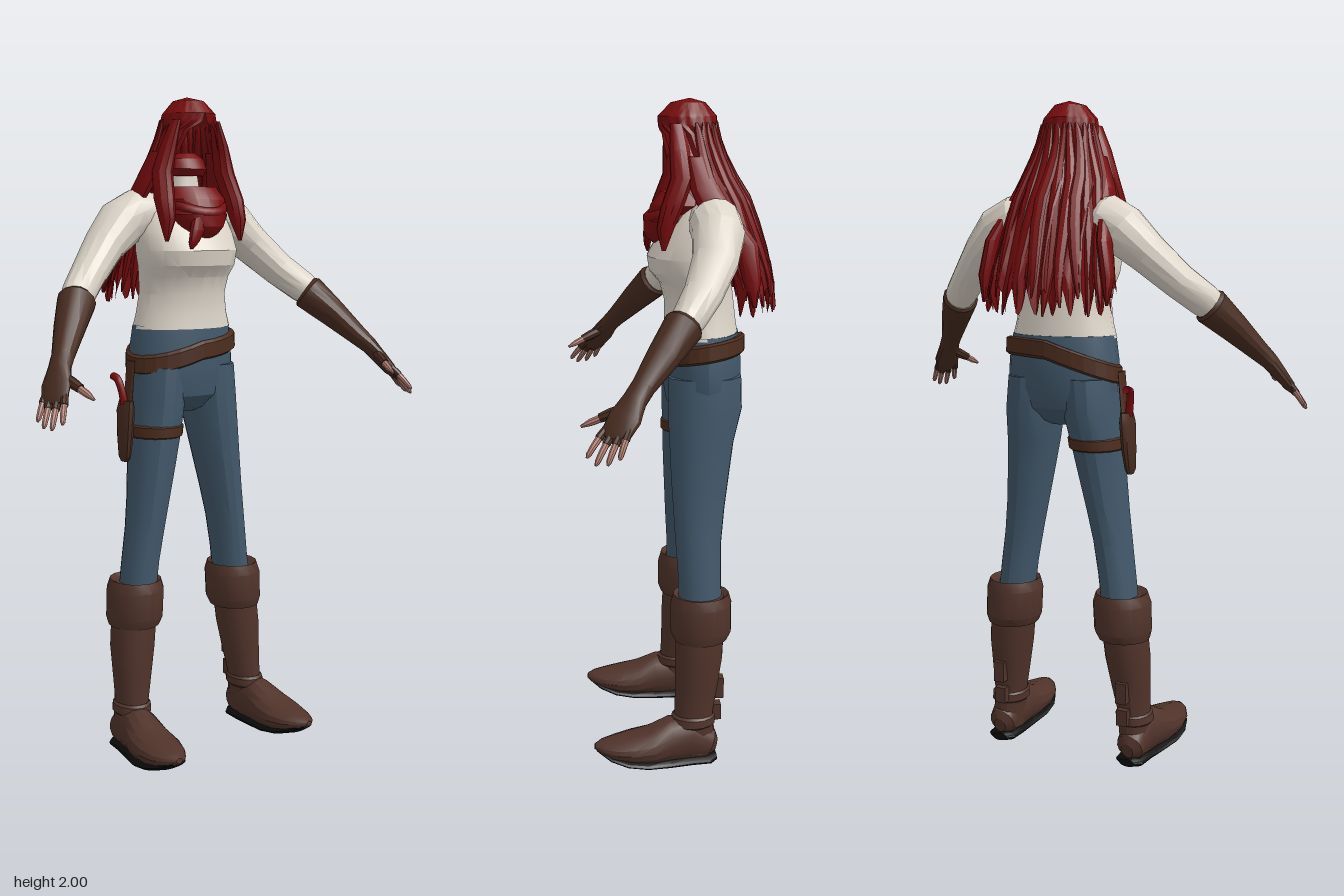
import * as THREE from 'three';
import { toCreasedNormals } from 'three/addons/utils/BufferGeometryUtils.js';

const mat = (name, color, open) => {
  const m = new THREE.MeshStandardMaterial({ color });
  m.name = name;
  if (open) m.side = THREE.DoubleSide;
  return m;
};
const V = (x, y, z) => new THREE.Vector3(x, y, z);

// Closed skin through elliptical sections [x, y, z, a, b].
// Without ref the sections lie flat and run top to bottom (a along x, b along z);
// with ref they follow the path, a lying along ref.
function loft(rows, ref = null, n = 16) {
  const pos = [], idx = [], p = rows.map(r => V(r[0], r[1], r[2]));
  rows.forEach(([, , , a, b], i) => {
    let T = V(0, -1, 0), U = V(1, 0, 0);
    if (ref) {
      T = p[Math.min(i + 1, p.length - 1)].clone().sub(p[Math.max(i - 1, 0)]).normalize();
      U = ref.clone().addScaledVector(T, -ref.dot(T)).normalize();
    }
    const W = T.clone().cross(U);
    for (let j = 0; j < n; j++) {
      const t = j / n * Math.PI * 2;
      const q = p[i].clone().addScaledVector(U, a * Math.cos(t)).addScaledVector(W, (b ?? a) * Math.sin(t));
      pos.push(q.x, q.y, q.z);
    }
  });
  const last = (rows.length - 1) * n, c = rows.length * n;
  pos.push(...p[0].toArray(), ...p[p.length - 1].toArray());
  for (let j = 0; j < n; j++) {
    const k = (j + 1) % n;
    for (let i = 0; i < last; i += n) idx.push(i + j, i + k, i + n + j, i + k, i + n + k, i + n + j);
    idx.push(c, k, j, c + 1, last + j, last + k);
  }
  return build(pos, idx);
}

function build(pos, idx) {
  const g = new THREE.BufferGeometry();
  g.setAttribute('position', new THREE.Float32BufferAttribute(pos, 3));
  g.setIndex(idx);
  return toCreasedNormals(g, 0.45);
}

// Hair shell: height, half width, half depth, centre z, half angle of the face opening
const HAIR = [
  [2.0, 0.002, 0.002, -0.05, 0], [1.988, 0.045, 0.05, -0.045, 0], [1.95, 0.077, 0.085, -0.043, 0],
  [1.925, 0.083, 0.085, -0.045, 0.1], [1.9, 0.087, 0.084, -0.047, 0.55], [1.85, 0.1, 0.088, -0.055, 0.7],
  [1.78, 0.128, 0.105, -0.07, 0.95], [1.7, 0.148, 0.12, -0.105, 1.25], [1.6, 0.17, 0.13, -0.13, 1.5],
  [1.5, 0.19, 0.138, -0.155, 1.55], [1.43, 0.2, 0.138, -0.165, 1.55]];

function hairAt(v) {
  const f = Math.min(v, 0.9999) * (HAIR.length - 1), i = Math.floor(f);
  return HAIR[i].map((h, k) => h + (HAIR[i + 1][k] - h) * (f - i));
}

function hairPoint(v, phi, lift = 0) {
  const [y, rx, rz, cz] = hairAt(v);
  return V(Math.sin(phi) * (rx + lift), y, cz + Math.cos(phi) * (rz + lift));
}

// Pleated open sheet with a ragged hem
function hairShell() {
  const pos = [], idx = [], R = 30, C = 96;
  for (let i = 0; i <= R; i++) for (let j = 0; j <= C; j++) {
    const v = i / R, open = hairAt(v)[4];
    const phi = open + (j / C) * (Math.PI * 2 - open * 2);
    const q = hairPoint(v, phi, 0.007 * v * Math.cos(j * Math.PI / 3));
    q.y += Math.max(0, v - 0.7) * 0.13 * Math.cos(j * Math.PI / 4 + 1);
    pos.push(q.x, q.y, q.z);
  }
  for (let i = 0; i < R; i++) for (let j = 0; j < C; j++) {
    const a = i * (C + 1) + j, b = a + C + 1;
    idx.push(a, b, a + 1, a + 1, b, b + 1);
  }
  return build(pos, idx);
}

export function createModel() {
  const model = new THREE.Group();
  model.name = 'standingFigure';
  const red = mat('red hair', 0x780c0e, true), shirt = mat('cream shirt', 0xdcd4c8);
  const denim = mat('blue trousers', 0x42586b), boot = mat('brown boot', 0x50332a);
  const glove = mat('dark brown glove', 0x482c20), belt = mat('belt leather', 0x4c2c1e);
  const skin = mat('skin', 0xb98376), sole = mat('black sole', 0x0c0b0b);
  const add = (name, geo, m) => {
    const mesh = new THREE.Mesh(geo, m);
    mesh.name = name;
    model.add(mesh);
    return mesh;
  };
  const X = V(1, 0, 0);

  // Torso and trouser seat
  add('shirtBody', loft([
    [0, 1.785, -0.065, 0.038, 0.036], [0, 1.73, -0.07, 0.05, 0.045], [0, 1.705, -0.085, 0.1, 0.065],
    [0, 1.66, -0.08, 0.15, 0.09], [0, 1.6, -0.065, 0.162, 0.115], [0, 1.55, -0.055, 0.165, 0.132],
    [0, 1.505, -0.055, 0.158, 0.125], [0, 1.47, -0.068, 0.15, 0.108], [0, 1.42, -0.078, 0.144, 0.104],
    [0, 1.36, -0.082, 0.153, 0.107], [0, 1.315, -0.083, 0.165, 0.113]], null, 20), shirt);
  add('trouserSeat', loft([
    [0, 1.325, -0.085, 0.163, 0.112], [0, 1.25, -0.087, 0.174, 0.118], [0, 1.17, -0.088, 0.178, 0.118],
    [0, 1.11, -0.086, 0.165, 0.106], [0, 1.07, -0.085, 0.1, 0.07], [0, 1.055, -0.085, 0.04, 0.04]], null, 20), denim);

  // Slung belt, dropping towards the holster side
  const band = loft([[0, 1.296, -0.087, 0.172, 0.122], [0, 1.29, -0.087, 0.183, 0.13],
    [0, 1.247, -0.087, 0.186, 0.13], [0, 1.24, -0.087, 0.176, 0.122]], null, 28);
  const bp = band.attributes.position;
  for (let i = 0; i < bp.count; i++) {
    const x = bp.getX(i), z = bp.getZ(i);
    bp.setY(i, bp.getY(i) + x * (x < 0 ? 0.32 : 0.08) - 0.15 * (z + 0.087));
  }
  band.computeVertexNormals();
  add('belt', band, belt);

  for (const s of [1, -1]) {
    const side = s > 0 ? 'left' : 'right';
    const put = (name, rows, m, ref, n) =>
      add(side + name, loft(rows.map(([x, ...r]) => [x * s, ...r]), ref && V(ref.x * s, ref.y, ref.z), n), m);
    const up = V(0.6, 0.7, 0);

    // Sleeve, glove and fingers
    put('Sleeve', [[0.09, 1.66, -0.095, 0.06, 0.06], [0.15, 1.655, -0.105, 0.076, 0.076],
      [0.2, 1.63, -0.108, 0.074, 0.076], [0.27, 1.565, -0.09, 0.06, 0.066],
      [0.35, 1.485, -0.045, 0.052, 0.055], [0.41, 1.43, 0.0, 0.05, 0.048], [0.45, 1.39, 0.035, 0.04, 0.04]], shirt, up, 14);
    put('Glove', [[0.418, 1.418, 0.01, 0.048, 0.048], [0.424, 1.412, 0.016, 0.056, 0.056],
      [0.48, 1.345, 0.075, 0.046, 0.044], [0.535, 1.275, 0.135, 0.033, 0.031],
      [0.56, 1.245, 0.16, 0.034, 0.026], [0.585, 1.205, 0.187, 0.046, 0.021],
      [0.605, 1.17, 0.212, 0.042, 0.017], [0.613, 1.155, 0.222, 0.03, 0.01]], glove, V(-0.4, 0.1, 0.85), 14);
    const fingers = [[0.588, 1.178, 0.238, 0.625, 1.112, 0.29], [0.602, 1.168, 0.223, 0.645, 1.096, 0.268],
      [0.613, 1.168, 0.203, 0.653, 1.098, 0.238], [0.615, 1.178, 0.18, 0.654, 1.112, 0.207]];
    fingers.forEach(([x, y, z, u, v, w], i) => {
      const at = (t, r) => [x + (u - x) * t, y + (v - y) * t + 0.012 * t * (1 - t), z + (w - z) * t, r, r];
      put('Knuckle' + i, [at(-0.15, 0.01), at(0.3, 0.0115), at(0.36, 0.0115)], glove, X, 8);
      put('Finger' + i, [at(0.2, 0.0095), at(0.6, 0.009), at(0.9, 0.0075), at(1, 0.003)], skin, X, 8);
    });
    put('ThumbSheath', [[0.565, 1.23, 0.175, 0.014], [0.555, 1.21, 0.22, 0.016], [0.547, 1.197, 0.25, 0.013]], glove, X, 8);
    put('Thumb', [[0.55, 1.2, 0.24, 0.011], [0.54, 1.184, 0.275, 0.01], [0.535, 1.172, 0.3, 0.004]], skin, X, 8);

    // Trouser leg
    put('TrouserLeg', [[0.088, 1.2, -0.087, 0.084, 0.11], [0.096, 1.1, -0.087, 0.084, 0.112],
      [0.108, 1.0, -0.076, 0.078, 0.097], [0.122, 0.9, -0.07, 0.07, 0.088], [0.137, 0.8, -0.065, 0.063, 0.078],
      [0.153, 0.7, -0.062, 0.058, 0.07], [0.168, 0.6, -0.064, 0.056, 0.066], [0.18, 0.5, -0.065, 0.056, 0.066]], denim);

    // Boot: turned cuff, shaft, foot and sole
    put('BootCuff', [[0.185, 0.535, -0.066, 0.058, 0.07], [0.185, 0.546, -0.066, 0.078, 0.085], [0.186, 0.515, -0.066, 0.088, 0.094],
      [0.19, 0.43, -0.066, 0.087, 0.094], [0.193, 0.403, -0.064, 0.078, 0.082], [0.194, 0.41, -0.064, 0.06, 0.06]], boot);
    put('BootShaft', [[0.193, 0.44, -0.063, 0.07, 0.074], [0.203, 0.34, -0.058, 0.069, 0.073],
      [0.21, 0.25, -0.05, 0.059, 0.066], [0.217, 0.17, -0.042, 0.05, 0.06],
      [0.222, 0.1, -0.04, 0.048, 0.065], [0.224, 0.04, -0.04, 0.045, 0.06]], boot);
    put('BootFoot', [[0.224, 0.055, -0.108, 0.02, 0.025], [0.225, 0.06, -0.09, 0.042, 0.048],
      [0.226, 0.085, -0.03, 0.052, 0.078], [0.23, 0.085, 0.03, 0.06, 0.072], [0.236, 0.073, 0.09, 0.071, 0.056],
      [0.238, 0.07, 0.15, 0.072, 0.045], [0.242, 0.071, 0.205, 0.058, 0.033],
      [0.244, 0.077, 0.245, 0.035, 0.02], [0.245, 0.08, 0.267, 0.01, 0.008]], boot, X);
    put('BootSole', [[0.224, 0.018, -0.11, 0.025, 0.012], [0.225, 0.017, -0.09, 0.046, 0.016],
      [0.226, 0.018, -0.03, 0.05, 0.018], [0.232, 0.02, 0.04, 0.058, 0.017], [0.237, 0.027, 0.11, 0.071, 0.016],
      [0.24, 0.036, 0.17, 0.067, 0.014], [0.243, 0.052, 0.22, 0.05, 0.012], [0.245, 0.072, 0.258, 0.018, 0.007]], sole, X);
    put('AnkleStrap', [[0.217, 0.165, -0.04, 0.05, 0.06], [0.218, 0.158, -0.04, 0.056, 0.068],
      [0.22, 0.135, -0.038, 0.057, 0.07], [0.22, 0.128, -0.038, 0.05, 0.06]], boot);
    for (const [y, h, z] of [[0.245, 0.065, -0.12], [0.165, 0.05, -0.112]]) {
      const tab = add(side + 'BootBuckle', new THREE.BoxGeometry(0.035, h, 0.026), boot);
      tab.position.set(0.212 * s, y, z);
    }

    // Long locks framing the face
    put('FaceLock', [[0.07, 1.93, -0.005, 0.012, 0.02], [0.092, 1.86, -0.01, 0.022, 0.03], [0.112, 1.78, -0.015, 0.03, 0.034],
      [0.125, 1.7, 0.015, 0.03, 0.034], [0.128, 1.64, 0.035, 0.024, 0.026], [0.133, 1.578, 0.04, 0.005, 0.006]], red, null, 10);
    put('ShoulderLock', [[0.1, 1.84, -0.055, 0.02, 0.03], [0.132, 1.75, -0.08, 0.025, 0.045],
      [0.155, 1.69, -0.11, 0.02, 0.05], [0.18, 1.6, -0.19, 0.02, 0.035],
      [0.198, 1.5, -0.205, 0.02, 0.028], [0.2, 1.42, -0.215, 0.004, 0.006]], red, null, 10);
  }

  // Hair: shell plus raised tapering locks down the back
  add('hairShell', hairShell(), red);
  for (let k = 0; k < 13; k++) {
    const phi = Math.PI + (k - 6) * 0.235, rows = [];
    for (let i = 0; i <= 9; i++) {
      const v = 0.3 + i * 0.0775, q = hairPoint(v, phi + 0.04 * Math.sin(i + k * 2), 0.001);
      const w = [0.004, 0.01, 0.013, 0.016, 0.019, 0.02, 0.02, 0.018, 0.013, 0.003][i];
      rows.push([q.x, q.y - (i / 9) * 0.025 * ((k * 5) % 3) + 0.008, q.z, w, 0.012 * w / 0.02]);
    }
    add('backLock' + k, loft(rows, V(-Math.cos(phi), 0, Math.sin(phi)), 8), red);
  }

  // Scarf: mask fold inside the hood, neck wrap and hanging tail
  add('maskFold', loft([[0, 1.838, -0.055, 0.03, 0.02], [0, 1.82, -0.05, 0.055, 0.038],
    [0, 1.79, -0.045, 0.062, 0.044], [0, 1.77, -0.05, 0.055, 0.035]]), red);
  add('scarfWrap', loft([[0, 1.728, -0.04, 0.06, 0.05], [0, 1.737, -0.035, 0.085, 0.07], [0, 1.7, -0.02, 0.105, 0.085],
    [0, 1.675, -0.005, 0.09, 0.077], [0, 1.655, 0.005, 0.095, 0.08], [0, 1.62, 0.02, 0.072, 0.066],
    [0, 1.6, 0.03, 0.05, 0.045], [0, 1.585, 0.035, 0.02, 0.02]]), red);
  add('scarfFold', new THREE.TorusGeometry(0.078, 0.017, 8, 24), red).rotation.x = Math.PI / 2 + 0.4;
  model.getObjectByName('scarfFold').position.set(0, 1.69, 0.0);
  add('scarfTail', loft([[-0.03, 1.66, 0.055, 0.02, 0.02], [-0.045, 1.61, 0.07, 0.026, 0.014],
    [-0.058, 1.575, 0.07, 0.018, 0.01], [-0.065, 1.555, 0.068, 0.004, 0.004]], null, 10), red);

  // Holster with thigh strap, hanger and grip
  add('thighStrap', loft([[-0.106, 1.026, -0.077, 0.076, 0.094], [-0.106, 1.02, -0.077, 0.085, 0.104],
    [-0.109, 0.99, -0.076, 0.084, 0.102], [-0.11, 0.984, -0.076, 0.075, 0.092]], null, 20), belt);
  add('holster', loft([[-0.203, 1.1, -0.08, 0.014, 0.036], [-0.206, 1.07, -0.08, 0.02, 0.042],
    [-0.21, 0.99, -0.078, 0.019, 0.036], [-0.214, 0.93, -0.075, 0.014, 0.028], [-0.215, 0.915, -0.075, 0.008, 0.018]], null, 12), glove);
  add('holsterHanger', loft([[-0.186, 1.22, -0.08, 0.006, 0.025], [-0.192, 1.15, -0.08, 0.007, 0.024],
    [-0.2, 1.07, -0.08, 0.008, 0.024]], null, 8), belt);
  const gripPath = new THREE.CatmullRomCurve3([V(-0.21, 1.08, -0.08), V(-0.216, 1.13, -0.085), V(-0.222, 1.165, -0.1), V(-0.222, 1.172, -0.125)]);
  add('grip', new THREE.TubeGeometry(gripPath, 10, 0.012, 8), red);
  return model;
}
